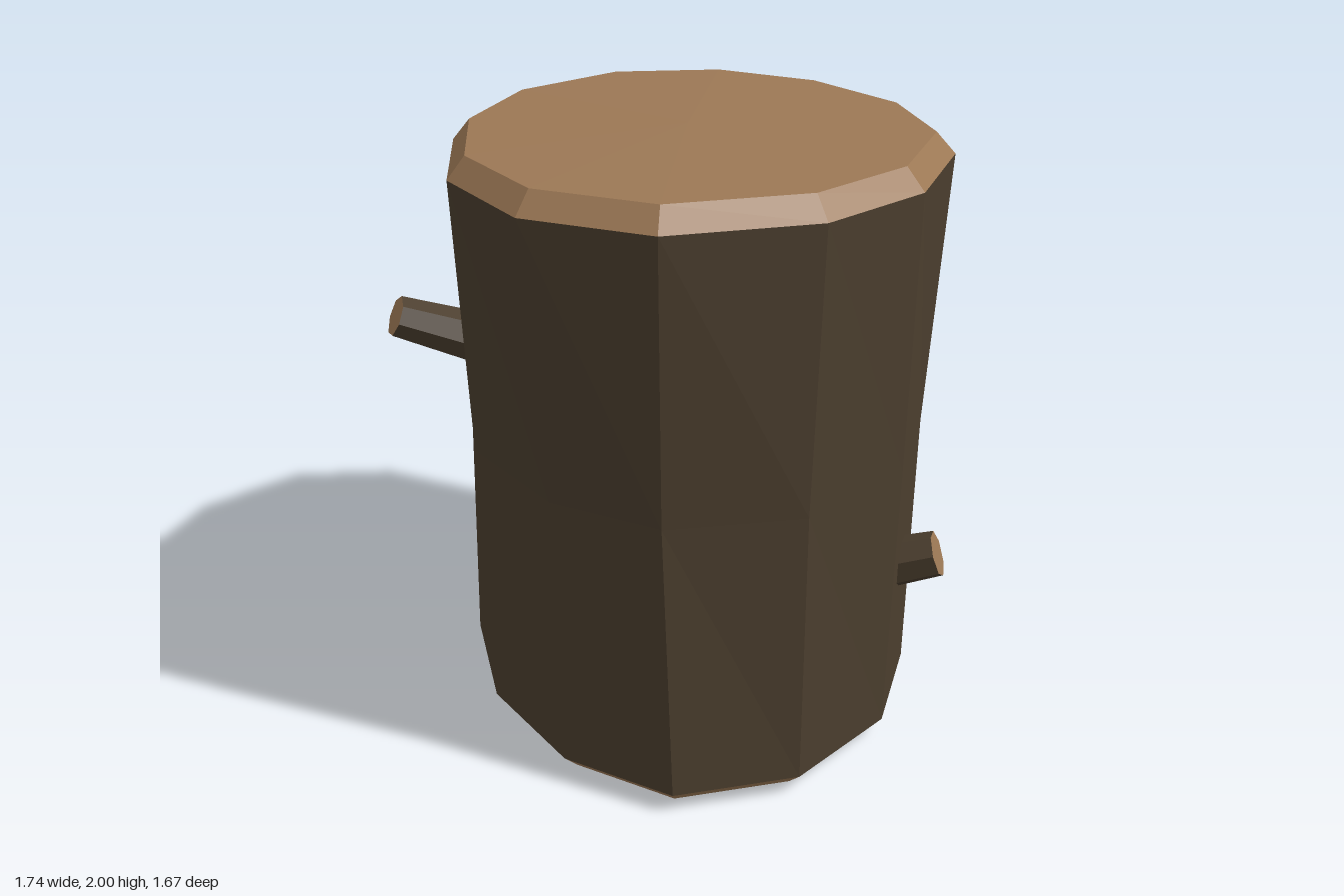
import * as THREE from 'three';

// Cross-sections as [x, z] corners, running from +x round to +z
const BOTTOM = [[0.78, 0.04], [0.71, 0.46], [0.43, 0.77], [0.03, 0.82], [-0.39, 0.68], [-0.73, 0.39],
  [-0.87, 0.03], [-0.8, -0.42], [-0.53, -0.75], [-0.07, -0.81], [0.36, -0.69], [0.65, -0.34]];
const MIDDLE = [[0.78, 0], [0.69, 0.42], [0.37, 0.73], [-0.01, 0.79], [-0.43, 0.66], [-0.73, 0.35],
  [-0.81, -0.02], [-0.74, -0.44], [-0.47, -0.74], [-0.05, -0.81], [0.37, -0.7], [0.65, -0.37]];
const TOP = [[0.78, -0.03], [0.69, 0.37], [0.37, 0.73], [-0.05, 0.83], [-0.45, 0.68], [-0.75, 0.33],
  [-0.87, -0.09], [-0.76, -0.52], [-0.45, -0.78], [-0.05, -0.84], [0.37, -0.72], [0.67, -0.45]];

const CENTRE_X = -0.045;

const ring = (points, y, scale = 1) =>
  points.map(([x, z]) => [CENTRE_X + (x - CENTRE_X) * scale, y, z * scale]);

// Faceted surface from a list of triangles
function faceted(triangles) {
  const geometry = new THREE.BufferGeometry();
  geometry.setAttribute('position', new THREE.Float32BufferAttribute(triangles.flat(2), 3));
  geometry.computeVertexNormals();
  return geometry;
}

// Triangles of a band between two rings, lower then upper
function band(lower, upper) {
  return lower.flatMap((a, i) => {
    const j = (i + 1) % lower.length;
    return [[a, upper[i], upper[j]], [a, upper[j], lower[j]]];
  });
}

// Triangles of a fan closing a ring
function fan(points, y, facesUp) {
  const centre = [CENTRE_X, y, 0];
  return points.map((p, i) => {
    const q = points[(i + 1) % points.length];
    return facesUp ? [centre, q, p] : [centre, p, q];
  });
}

export function createModel() {
  const bark = new THREE.MeshStandardMaterial({ color: 0x4b3e2e });
  bark.name = 'bark';
  const wood = new THREE.MeshStandardMaterial({ color: 0x9c7855 });
  wood.name = 'cut wood';

  const log = new THREE.Group();
  log.name = 'log';
  const add = (name, geometry, material) => {
    const mesh = new THREE.Mesh(geometry, material);
    mesh.name = name;
    log.add(mesh);
    return mesh;
  };

  // Trunk, slightly waisted and twisted
  const low = ring(BOTTOM, 0.07), mid = ring(MIDDLE, 1), high = ring(TOP, 1.91);
  add('trunk', faceted([...band(low, mid), ...band(mid, high)]), bark);

  // Bevelled cut ends
  const topRim = ring(TOP, 1.98, 0.925), bottomRim = ring(BOTTOM, 0, 0.92);
  add('topCut', faceted([...band(high, topRim), ...fan(topRim, 2, true)]), wood);
  add('bottomCut', faceted([...band(bottomRim, low), ...fan(bottomRim, 0, false)]), wood);

  // Sawn branch stubs from inside the trunk to a cut tip
  const addStub = (name, base, tip, baseRadius, tipRadius) => {
    const from = new THREE.Vector3(...base), to = new THREE.Vector3(...tip);
    const axis = to.clone().sub(from);
    const geometry = new THREE.CylinderGeometry(tipRadius, baseRadius, axis.length(), 7).toNonIndexed();
    geometry.computeVertexNormals();
    const stub = add(name, geometry, [bark, wood, bark]);
    stub.position.copy(from).add(to).multiplyScalar(0.5);
    stub.quaternion.setFromUnitVectors(new THREE.Vector3(0, 1, 0), axis.normalize());
  };
  addStub('upperBranchStub', [-0.46, 1.32, 0.5], [-0.64, 1.455, 0.755], 0.088, 0.066);
  addStub('lowerBranchStub', [0.65, 0.56, -0.11], [0.835, 0.63, -0.185], 0.088, 0.078);

  return log;
}
